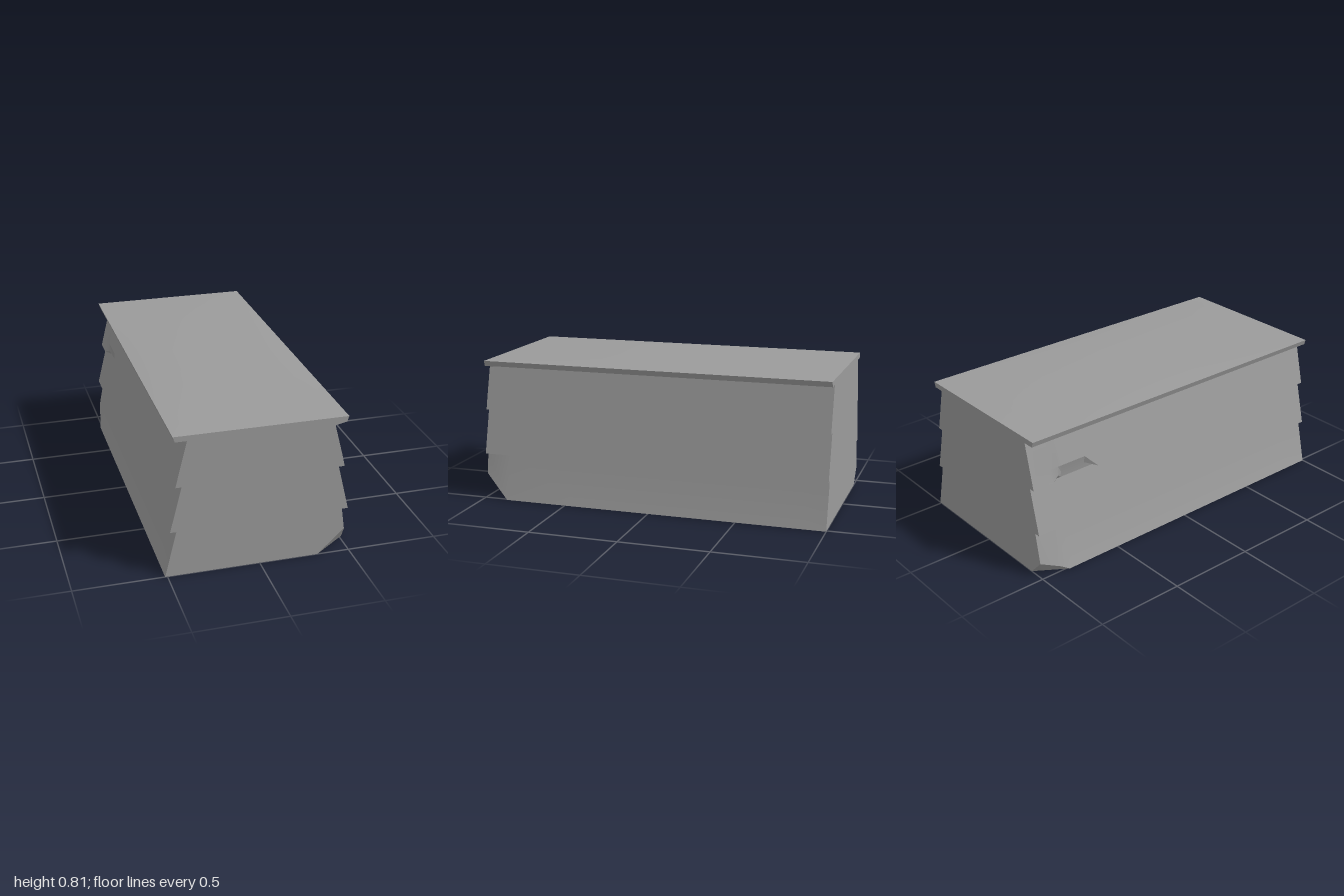
import * as THREE from 'three';
import { toCreasedNormals } from 'three/addons/utils/BufferGeometryUtils.js';

// 1 at the centre of a chip, falling to 0 at its rim
const fade = (z, centre, reach) => Math.max(0, 1 - Math.abs(z - centre) / reach);

// Outline of one side from the bottom edge to the lid edge, for x > 0.
// cutX, cutY: size of the broken bottom corner; notch: damage to the third board's lip;
// sag: droop of the lid's underside.
function sideProfile(cutX, cutY, notch, sag) {
  const breakY = 0.01 + cutY;
  return [
    [0.513 - cutX, 0.003],
    [0.513 - 0.242 * breakY - 0.09 * cutY, breakY], // upper end of the broken corner
    [0.45, 0.262], [0.483, 0.262],                  // second board's lip
    [0.42, 0.517],
    [0.452 - 0.027 * notch, 0.517 + 0.035 * notch], // third board's lip
    [0.434, 0.592],
    [0.39, 0.772 - sag], [0.452, 0.772],            // underside of the lid
    [0.462, 0.802]
  ];
}

// Closed cross-section at depth z, counter-clockwise seen from the front
function crossSection(z) {
  const front = fade(z, 1, 0.14);
  const back = fade(z, -1, 0.17);
  const notch = Math.min(1, 2 * fade(z, -0.73, 0.15));
  const right = sideProfile(0.19 * front, 0.13 * front, 0, 0.014 * fade(z, 1, 0.6));
  const left = sideProfile(0.11 * back, 0.08 * back, notch, 0)
    .map(([x, y]) => [-x, y]).reverse();
  // slightly domed lid
  const dome = 0.009 * (1 - z * z);
  const top = [0.38, 0.2, 0, -0.2, -0.38].map(x => [x, 0.802 + dome * (1 - x * x * 2)]);
  return [...right, ...top, ...left].map(([x, y]) => new THREE.Vector3(x, y, z));
}

// Joins the cross-sections with quads and closes both ends
function loft(stations) {
  const rings = stations.map(crossSection);
  const n = rings[0].length;
  const positions = rings.flat().flatMap(p => p.toArray());
  const index = [];
  for (let i = 0; i < rings.length - 1; i++) {
    for (let j = 0; j < n; j++) {
      const a = i * n + j, b = i * n + (j + 1) % n;
      index.push(a, a + n, b, b, a + n, b + n);
    }
  }
  const cap = (ring, offset, flip) => {
    const outline = ring.map(p => new THREE.Vector2(p.x, p.y));
    for (const [a, b, c] of THREE.ShapeUtils.triangulateShape(outline, [])) {
      index.push(offset + a, offset + (flip ? c : b), offset + (flip ? b : c));
    }
  };
  cap(rings[0], 0, false);
  cap(rings[rings.length - 1], (rings.length - 1) * n, true);

  const geometry = new THREE.BufferGeometry();
  geometry.setAttribute('position', new THREE.Float32BufferAttribute(positions, 3));
  geometry.setIndex(index);
  return toCreasedNormals(geometry, 0.35);
}

export function createModel() {
  const group = new THREE.Group();
  group.name = 'plankedBlock';

  // Tapered block of overlapping boards with a lid, chipped at two corners and one lip
  const stations = [1, 0.86, 0.4, 0.2, 0, -0.2, -0.4, -0.58, -0.655, -0.73, -0.805, -0.83, -0.88, -1];
  const block = new THREE.Mesh(
    loft(stations),
    new THREE.MeshStandardMaterial({ color: 0x9b9b9b })
  );
  block.name = 'boardsAndLid';
  group.add(block);
  return group;
}
